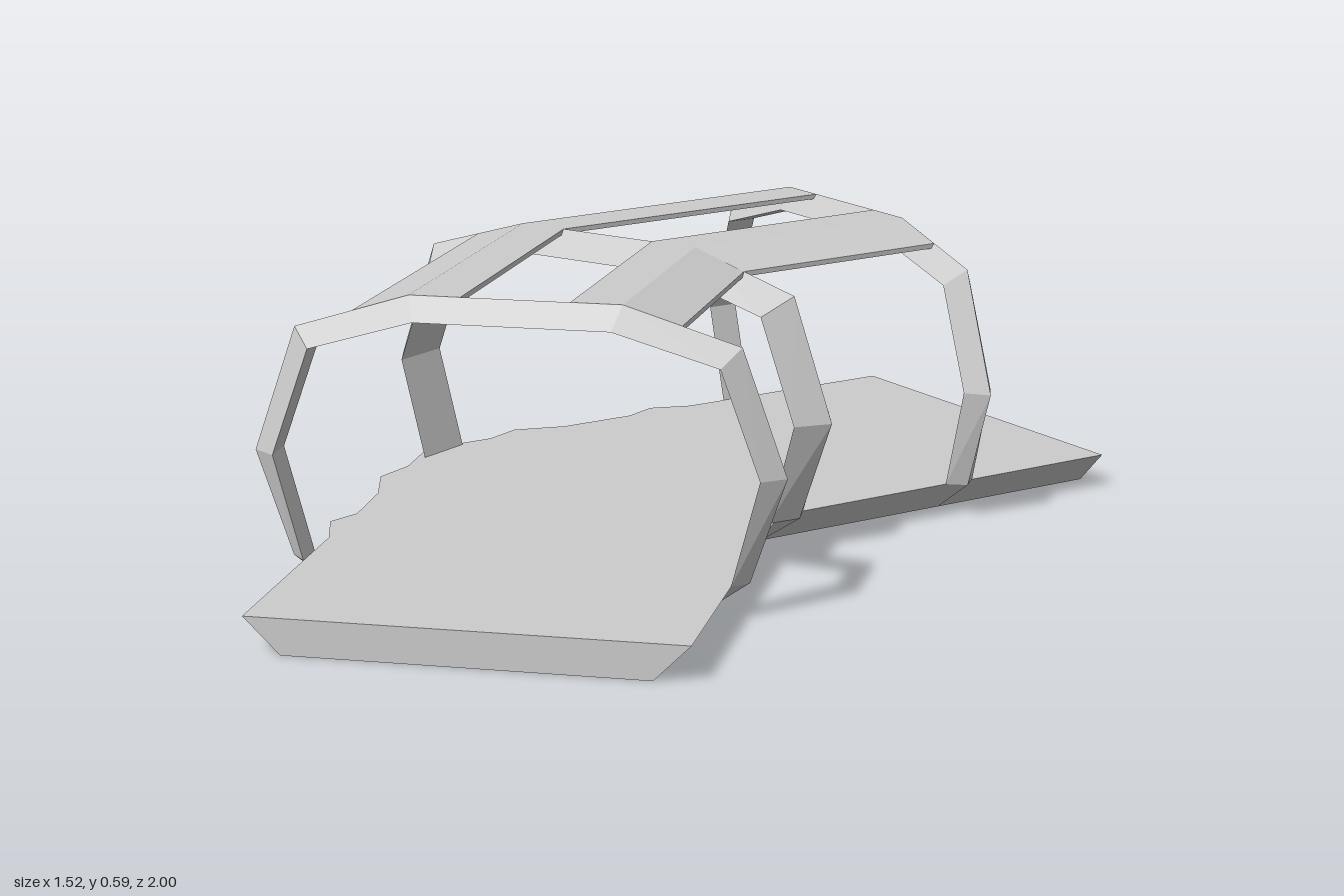
import * as THREE from 'three';

const material = new THREE.MeshStandardMaterial({ color: 0xcccccc, flatShading: true });

// Skins a list of equal-length cross-sections (clockwise along the travel) with flat faces.
function loft(name, sections, caps) {
  const pos = [];
  const tri = (...pts) => pts.forEach((p) => pos.push(...p));
  const n = sections[0].length;
  for (let i = 0; i + 1 < sections.length; i++) {
    for (let j = 0; j < n; j++) {
      const k = (j + 1) % n;
      const a = sections[i][j], b = sections[i][k], c = sections[i + 1][k], d = sections[i + 1][j];
      tri(a, b, c);
      tri(a, c, d);
    }
  }
  if (caps) {
    const first = sections[0], last = sections[sections.length - 1];
    for (let k = 1; k + 1 < n; k++) {
      tri(first[0], first[k + 1], first[k]);
      tri(last[0], last[k], last[k + 1]);
    }
  }
  const geometry = new THREE.BufferGeometry();
  geometry.setAttribute('position', new THREE.Float32BufferAttribute(pos, 3));
  geometry.computeVertexNormals();
  const mesh = new THREE.Mesh(geometry, material);
  mesh.name = name;
  return mesh;
}

// A station on the bent path: u runs across, y up, t towards the front.
function station(cx, cz, angle, scale = 1) {
  const c = Math.cos(angle), s = Math.sin(angle);
  return (u, y, t = 0) => [cx + u * scale * c - t * s, y, cz + u * scale * s + t * c];
}

const BEND = Math.PI / 4;
const frontEnd = station(-0.245, 1, 0);
const mitre = station(-0.245, 0, BEND / 2, 1 / Math.cos(BEND / 2));
const backEnd = station(0.465, -0.71, BEND);
const frontRib = station(-0.245, 0.62, 0);
const bendRib = station(-0.217, 0.005, BEND / 2, 1.05);
const backRib = station(0.195, -0.44, BEND);

// Half outline of a rib: ridge u, ridge y, inner u, inner y
const RIB = [
  [0.345, 0, 0.345, 0],
  [0.445, 0.07, 0.415, 0.07],
  [0.515, 0.275, 0.47, 0.275],
  [0.43, 0.52, 0.395, 0.485],
  [0.205, 0.59, 0.19, 0.545],
];

function rib(name, at, halfWidth) {
  const left = RIB.map(([a, b, c, d]) => [-a, b, -c, d]);
  const outline = [...left, ...RIB.slice().reverse()];
  const sections = outline.map(([ru, ry, iu, iy]) => {
    const w = ry === 0 ? 0 : halfWidth; // feet taper to a point under the floor edge
    return [at(ru, ry), at(iu, iy, w), at(iu, iy, -w)];
  });
  return loft(name, sections, false);
}

// Floor slab with undercut sides and a few bulges on its outer edge
function floor() {
  const sections = [];
  const row = (end, f, bulge) => {
    const mix = (u, y) => {
      const a = end(u, y), b = mitre(u, y);
      return a.map((v, i) => v + (b[i] - v) * f);
    };
    sections.push([mix(-0.345, 0), mix(-0.415 - bulge, 0.07), mix(0.415, 0.07), mix(0.345, 0)]);
  };
  const frontRows = [[0, 0], [0.427, 0], [0.513, 0.032], [0.573, -0.003], [0.7, 0], [0.795, 0.032], [0.88, 0], [1, 0]];
  const backRows = [[0.867, 0], [0.79, 0.035], [0.71, 0], [0.566, 0], [0.497, 0.032], [0.43, 0], [0, 0]];
  frontRows.forEach(([f, b]) => row(frontEnd, f, b));
  backRows.forEach(([f, b]) => row(backEnd, f, b));
  return loft('floor', sections, true);
}

// Thin folded roof strip running over the ridges of all three ribs
function roofStrip(name, side) {
  const T = 0.01;
  let profile = [[0.205, 0.59 - T], [0.105, 0.59 - T], [0.105, 0.59], [0.205, 0.59], [0.317, 0.555], [0.317, 0.555 - T]];
  if (side < 0) {
    profile = [profile[0], ...profile.slice(1).reverse()].map(([u, y]) => [-u, y]);
  }
  const sections = [frontRib, bendRib, backRib].map((at) => profile.map(([u, y]) => at(u, y)));
  return loft(name, sections, true);
}

export function createModel() {
  const model = new THREE.Group();
  model.name = 'bentCorridor';
  model.add(
    floor(),
    rib('frontRib', frontRib, 0.034),
    rib('bendRib', bendRib, 0.064),
    rib('backRib', backRib, 0.034),
    roofStrip('leftRoofStrip', 1),
    roofStrip('rightRoofStrip', -1),
  );
  return model;
}
